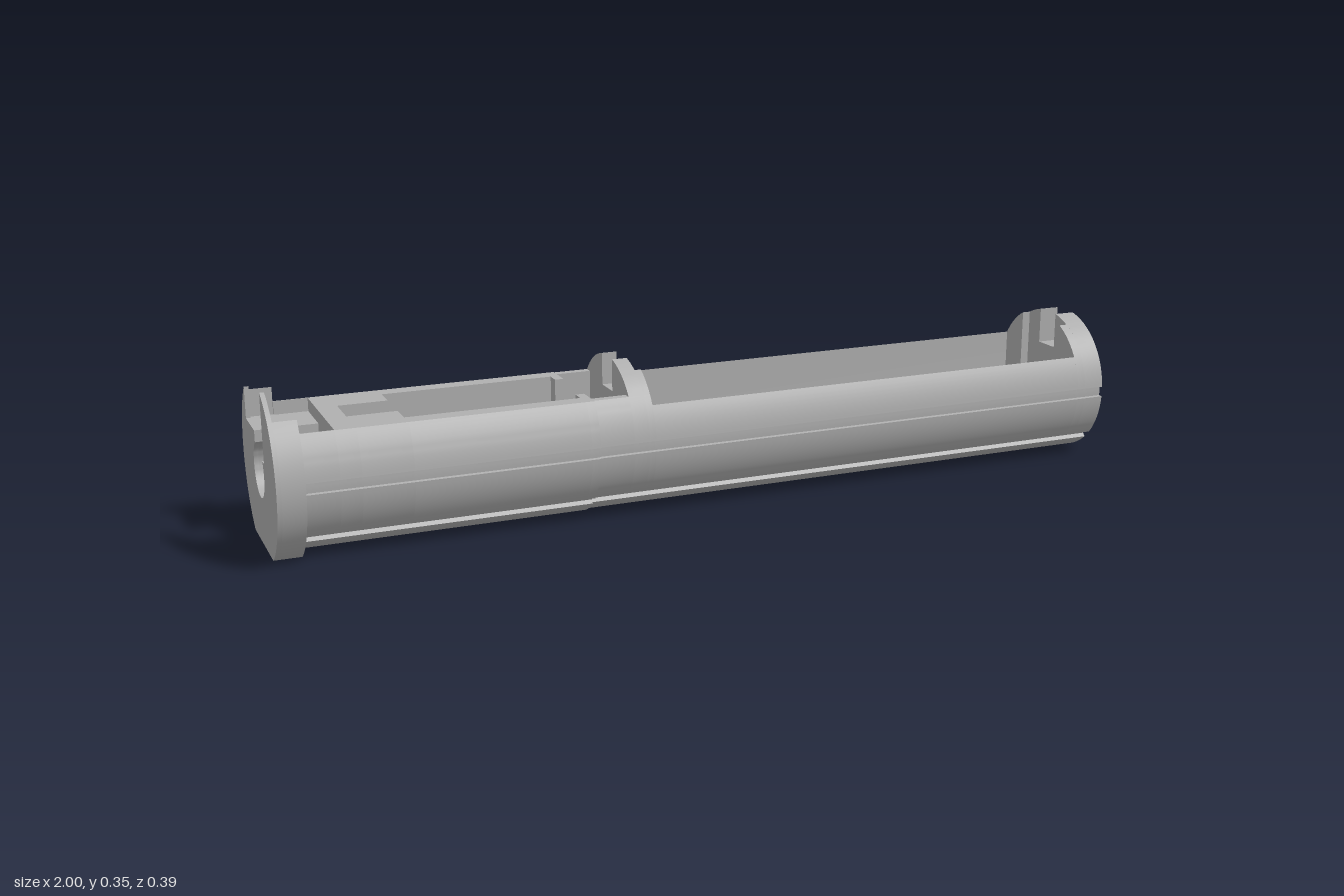
import * as THREE from 'three';
import { toCreasedNormals } from 'three/addons/utils/BufferGeometryUtils.js';

const CY = 0.167;          // height of the tube axis
const R_BODY = 0.172, R_SLEEVE = 0.175, R_FLANGE = 0.1975;
const FLAT = 0.275;        // flat top of the drive section

// Points on a circle about (0, CY), cut flat at y = 0
function arc(r, a0, a1, n) {
  const pts = [];
  for (let i = 0; i <= n; i++) {
    const a = a0 + (a1 - a0) * i / n;
    pts.push([r * Math.cos(a), Math.max(0, CY + r * Math.sin(a))]);
  }
  return pts;
}

// Outer skin, clockwise from the right rim under the tube to the left rim, with four key grooves
function skin(r, sRight, sLeft, grooved = true) {
  const start = Math.acos(sRight / r), end = -Math.PI - Math.acos(-sLeft / r);
  const stops = [start];
  if (grooved) {
    for (const g of [0, -0.25, -0.75, -1]) stops.push(g * Math.PI + 0.07, g * Math.PI - 0.07);
  }
  stops.push(end);
  const pts = [];
  for (let i = 0; i < stops.length - 1; i++) {
    const n = Math.max(2, Math.ceil((stops[i] - stops[i + 1]) / 0.06));
    pts.push(...arc(i % 2 ? r - 0.01 : r, stops[i], stops[i + 1], n));
  }
  return pts;
}

export function createModel() {
  const model = new THREE.Group();
  const grey = new THREE.MeshStandardMaterial({ color: 0xb0b0b0 });
  grey.name = 'plain grey';

  // One length of the tube, from x0 to x1; section coordinates are (-z, y)
  function section(name, x0, x1, outer, inner) {
    const shape = new THREE.Shape([...outer, ...inner].map(p => new THREE.Vector2(p[0], p[1])));
    const geo = new THREE.ExtrudeGeometry(shape, { depth: x1 - x0, bevelEnabled: false });
    geo.rotateY(Math.PI / 2);
    geo.translate(x0, 0, 0);
    const mesh = new THREE.Mesh(toCreasedNormals(geo, 0.5), grey);
    mesh.name = name;
    model.add(mesh);
  }

  // Battery trough with round floor and straight inner walls
  const w = 0.148;
  section('batteryTrough', -0.17, 0.93, skin(R_BODY, w, -w), arc(w, Math.PI, 2 * Math.PI, 40));

  // Contact ledges at both ends of the trough
  const ledge = [[-0.08, 0.04], [0.08, 0.04]];
  section('innerContactLedge', -0.185, -0.17, skin(R_BODY, 0.08, -0.08), ledge);
  section('outerContactLedge', 0.93, 0.95, skin(R_BODY, 0.08, -0.08), ledge);

  // Slotted full discs
  const slot = y => [[-0.032, y], [0.032, y]];
  section('bulkhead', -0.22, -0.185, skin(R_BODY, 0.032, -0.032), slot(0.263));
  section('endCap', 0.95, 1, skin(R_BODY, 0.032, -0.032), slot(0.252));

  // Drive section: flat top with pockets of various widths
  const flatSkin = r => {
    const s = Math.sqrt(r * r - (FLAT - CY) ** 2);
    return skin(r, s, -s);
  };
  const pocket = (h, floor) => [[-h, FLAT], [-h, floor], [h, floor], [h, FLAT]];
  section('couplingPocket', -0.3, -0.22, flatSkin(R_BODY), pocket(0.115, 0.07));
  section('motorNeck', -0.32, -0.3, flatSkin(R_SLEEVE), pocket(0.07, 0.1));
  section('motorPocket', -0.71, -0.32, flatSkin(R_SLEEVE), pocket(0.1, 0.06));
  section('shaftChannel', -0.82, -0.71, flatSkin(R_SLEEVE),
    [[-0.045, FLAT], ...arc(0.045, Math.PI, 2 * Math.PI, 20), [0.045, FLAT]]);
  section('crossWall', -0.865, -0.82, flatSkin(R_SLEEVE), []);

  // Open bore with an offset slot, below a recessed shelf
  const bore = [[-0.07, 0.2], [-0.05, 0.2],
    ...arc(0.06, Math.PI * 0.81, Math.PI * 2.333, 36), [0.03, 0.245]];
  const shelf = [[-0.07, 0.245], ...bore];
  section('boreBlock', -0.94, -0.865, flatSkin(R_SLEEVE),
    [[-0.135, FLAT], [-0.135, 0.245], ...shelf, [0.135, 0.245], [0.135, FLAT]]);

  // Wide flange and its thin end plate with uneven cut-out
  section('flange', -0.99, -0.94, skin(R_FLANGE, 0.14, -0.14, false),
    [[-0.14, 0.245], ...shelf, [0.14, 0.245]]);
  section('flangePlate', -1, -0.99, skin(R_FLANGE, 0.13, -0.07, false),
    [...bore, [0.13, 0.245]]);

  return model;
}
